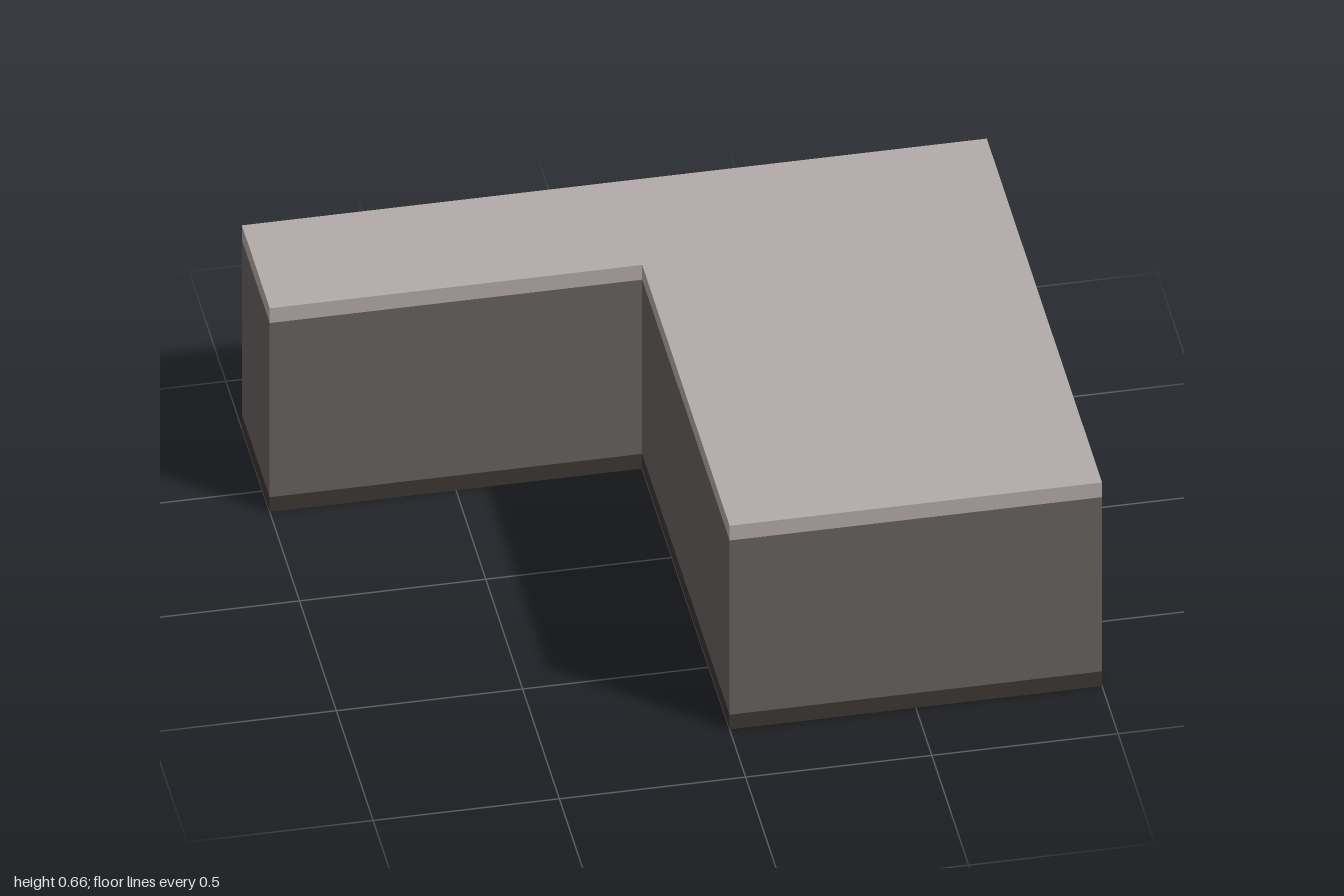
import * as THREE from 'three';

// L-shaped footprint as [x, z], counter-clockwise seen from above
const FOOTPRINT = [
  [-1, -0.783], [-1, -0.405], [0, -0.405], [0, 0.783], [1, 0.783], [1, -0.783],
];

// One horizontal layer of the counter, from height y0 to y1
function layer(name, y0, y1, color) {
  const shape = new THREE.Shape(FOOTPRINT.map(([x, z]) => new THREE.Vector2(x, -z)));
  const geometry = new THREE.ExtrudeGeometry(shape, { depth: y1 - y0, bevelEnabled: false });
  geometry.rotateX(-Math.PI / 2).translate(0, y0, 0);
  const mesh = new THREE.Mesh(geometry, new THREE.MeshStandardMaterial({ color }));
  mesh.name = name;
  return mesh;
}

export function createModel() {
  const group = new THREE.Group();
  group.name = 'cornerCounter';
  group.add(
    layer('plinth', 0, 0.048, 0x3b3634),
    layer('cabinetBody', 0.048, 0.616, 0x65615f),
    layer('countertop', 0.616, 0.664, 0xb3aaa8),
  );
  return group;
}
